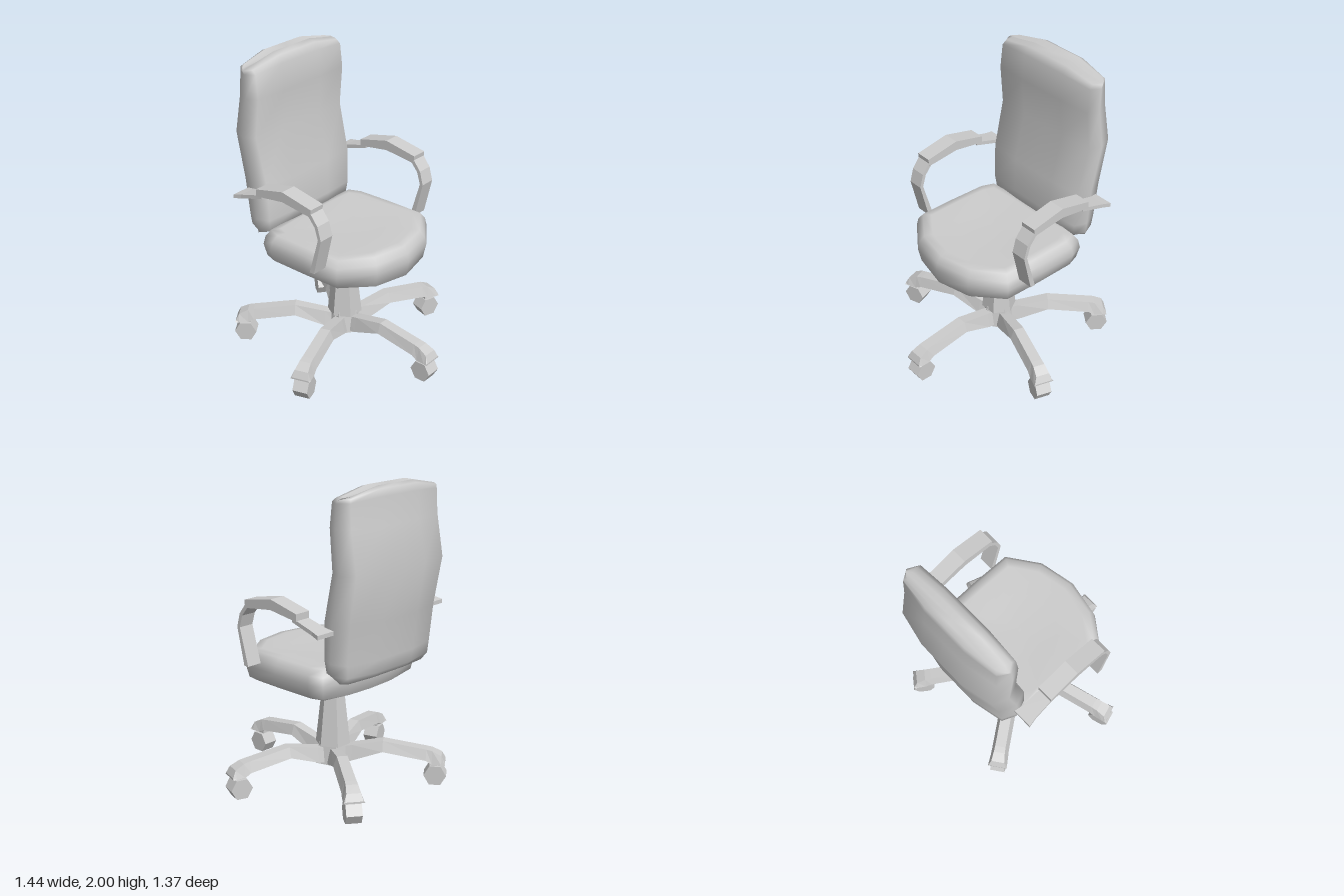
import * as THREE from 'three';

const smooth = new THREE.MeshStandardMaterial({ color: 0xcccccc });
const faceted = new THREE.MeshStandardMaterial({ color: 0xcccccc, flatShading: true });

// Skin a closed solid through rings of [x, y, z] points, capped at both ends.
function loft(rings) {
  const n = rings[0].length;
  const pts = rings.flat();
  const centre = ring => [0, 1, 2].map(k => ring.reduce((s, p) => s + p[k], 0) / n);
  const first = pts.push(centre(rings[0])) - 1;
  const last = pts.push(centre(rings[rings.length - 1])) - 1;
  const end = (rings.length - 1) * n;
  const tris = [];
  for (let j = 0; j < n; j++) {
    const k = (j + 1) % n;
    tris.push([first, k, j], [last, end + j, end + k]);
    for (let i = 0; i < end; i += n) {
      tris.push([i + j, i + k, i + n + k], [i + j, i + n + k, i + n + j]);
    }
  }
  // a negative volume means the faces point inwards
  const v = i => new THREE.Vector3(...pts[i]);
  const volume = tris.reduce((s, [a, b, c]) => s + v(a).dot(v(b).cross(v(c))), 0);
  const geo = new THREE.BufferGeometry();
  geo.setAttribute('position', new THREE.Float32BufferAttribute(pts.flat(), 3));
  geo.setIndex(tris.flatMap(t => (volume < 0 ? [t[0], t[2], t[1]] : t)));
  geo.computeVertexNormals();
  return geo;
}

function add(parent, name, geo, mat, x = 0, y = 0, z = 0) {
  const mesh = new THREE.Mesh(geo, mat);
  mesh.name = name;
  mesh.position.set(x, y, z);
  parent.add(mesh);
  return mesh;
}

// Complete a half outline (front centre to back centre) with its mirror image.
const mirrored = half => [...half, ...half.slice(1, -1).reverse().map(([x, z]) => [-x, z])];

function seatGeometry() {
  const outline = mirrored([
    [0, 0.47], [0.25, 0.42], [0.455, 0.27], [0.46, 0], [0.455, -0.28], [0.42, -0.375], [0.2, -0.395], [0, -0.395],
  ]);
  // scale, height, extra height at the sides
  const levels = [
    [0.55, 0.68, 0], [0.85, 0.682, 0.01], [0.96, 0.695, 0.03], [1, 0.795, 0.01],
    [0.975, 0.85, 0.01], [0.91, 0.892, 0.01], [0.8, 0.9, 0.008], [0.45, 0.895, 0],
  ];
  return loft(levels.map(([s, y, lift]) =>
    outline.map(([x, z]) => [x * s, y + lift * (x / 0.45) ** 2, z * s])));
}

function backrestGeometry() {
  // height, half width, front z, back z, drop of the outer corners
  const levels = [
    [0.835, 0.37, -0.43, -0.52, 0], [0.88, 0.405, -0.345, -0.57, 0], [0.96, 0.415, -0.335, -0.578, 0],
    [1.2, 0.422, -0.34, -0.605, 0], [1.51, 0.43, -0.413, -0.655, 0], [1.77, 0.425, -0.388, -0.605, 0],
    [1.94, 0.422, -0.405, -0.59, 0.02], [1.985, 0.418, -0.435, -0.58, 0.045], [2, 0.405, -0.48, -0.55, 0.05],
  ];
  return loft(levels.map(([y, w, f, b, drop]) => {
    const d = f - b;
    return mirrored([
      [0, f], [0.4 * w, f], [0.92 * w, f - 0.06 * d], [w, f - 0.4 * d],
      [0.9 * w, b + 0.2 * d], [0.38 * w, b], [0, b],
    ]).map(([x, z]) => [x, y - drop * Math.max(0, (Math.abs(x) / w - 0.4) / 0.6), z]);
  }));
}

// Bar with a rectangular section; each entry is [y1, z1, y2, z2, half width].
const bar = sections => loft(sections.map(([y1, z1, y2, z2, w]) =>
  [[-w, y1, z1], [w, y1, z1], [w, y2, z2], [-w, y2, z2]]));

function createArm(side) {
  const arm = new THREE.Group();
  arm.name = side > 0 ? 'leftArmrest' : 'rightArmrest';
  arm.position.x = side * 0.5;
  add(arm, 'armSupport', bar([
    [0.845, 0.175, 0.845, 0.14, 0.052], [1.085, 0.233, 1.085, 0.21, 0.052],
    [1.175, 0.208, 1.165, 0.185, 0.052], [1.25, 0.15, 1.225, 0.135, 0.052],
  ]), faceted);
  add(arm, 'armPad', bar([
    [1.27, 0.16, 1.22, 0.155, 0.054], [1.316, -0.07, 1.25, -0.07, 0.054], [1.267, -0.288, 1.22, -0.288, 0.054],
  ]), faceted);
  add(arm, 'armRearStrip', bar([
    [1.235, -0.25, 1.21, -0.25, 0.048], [1.19, -0.42, 1.165, -0.42, 0.055], [1.178, -0.475, 1.152, -0.475, 0.066],
  ]), faceted);
  return arm;
}

function createLeg(i) {
  const leg = new THREE.Group();
  leg.name = 'baseLeg' + (i + 1);
  leg.rotation.y = (i * Math.PI * 2) / 5;
  // distance from hub, top, bottom, half width at top and bottom
  const sections = [
    [0.04, 0.22, 0.125, 0.03, 0.05], [0.13, 0.24, 0.14, 0.032, 0.055], [0.33, 0.28, 0.212, 0.034, 0.057],
    [0.61, 0.238, 0.168, 0.036, 0.058], [0.65, 0.23, 0.145, 0.038, 0.06],
    [0.71, 0.2, 0.145, 0.045, 0.064], [0.733, 0.155, 0.145, 0.056, 0.066],
  ];
  add(leg, 'legBeam', loft(sections.map(([r, t, b, wt, wb]) =>
    [[-wb, b, r], [wb, b, r], [wt, t, r], [-wt, t, r]])), faceted);
  add(leg, 'casterStem', new THREE.BoxGeometry(0.06, 0.06, 0.06), faceted, 0, 0.135, 0.67);
  const wheel = new THREE.CylinderGeometry(0.073, 0.073, 0.1, 6).rotateZ(Math.PI / 2);
  add(leg, 'casterWheel', wheel, faceted, 0, 0.065, 0.67);
  return leg;
}

export function createModel() {
  const chair = new THREE.Group();
  chair.name = 'officeChair';
  add(chair, 'seat', seatGeometry(), smooth);
  add(chair, 'backrest', backrestGeometry(), smooth);
  chair.add(createArm(1), createArm(-1));

  // five-legged base with the centre column
  const base = new THREE.Group();
  base.name = 'base';
  base.position.z = -0.053;
  chair.add(base);
  for (let i = 0; i < 5; i++) base.add(createLeg(i));
  add(base, 'hub', new THREE.CylinderGeometry(0.1, 0.13, 0.15, 5), faceted, 0, 0.195, 0);
  const hexagon = (top, bottom, h) => new THREE.CylinderGeometry(top, bottom, h, 6).rotateY(Math.PI / 6);
  add(base, 'column', hexagon(0.075, 0.115, 0.36), faceted, 0, 0.425, 0);
  add(base, 'gasPost', hexagon(0.05, 0.05, 0.14), faceted, 0, 0.65, 0);

  // tilt tension knob under the seat
  const knob = add(chair, 'tiltKnob', hexagon(0.075, 0.075, 0.14), faceted, 0, 0.645, 0.14);
  knob.rotation.x = 0.22;
  return chair;
}
